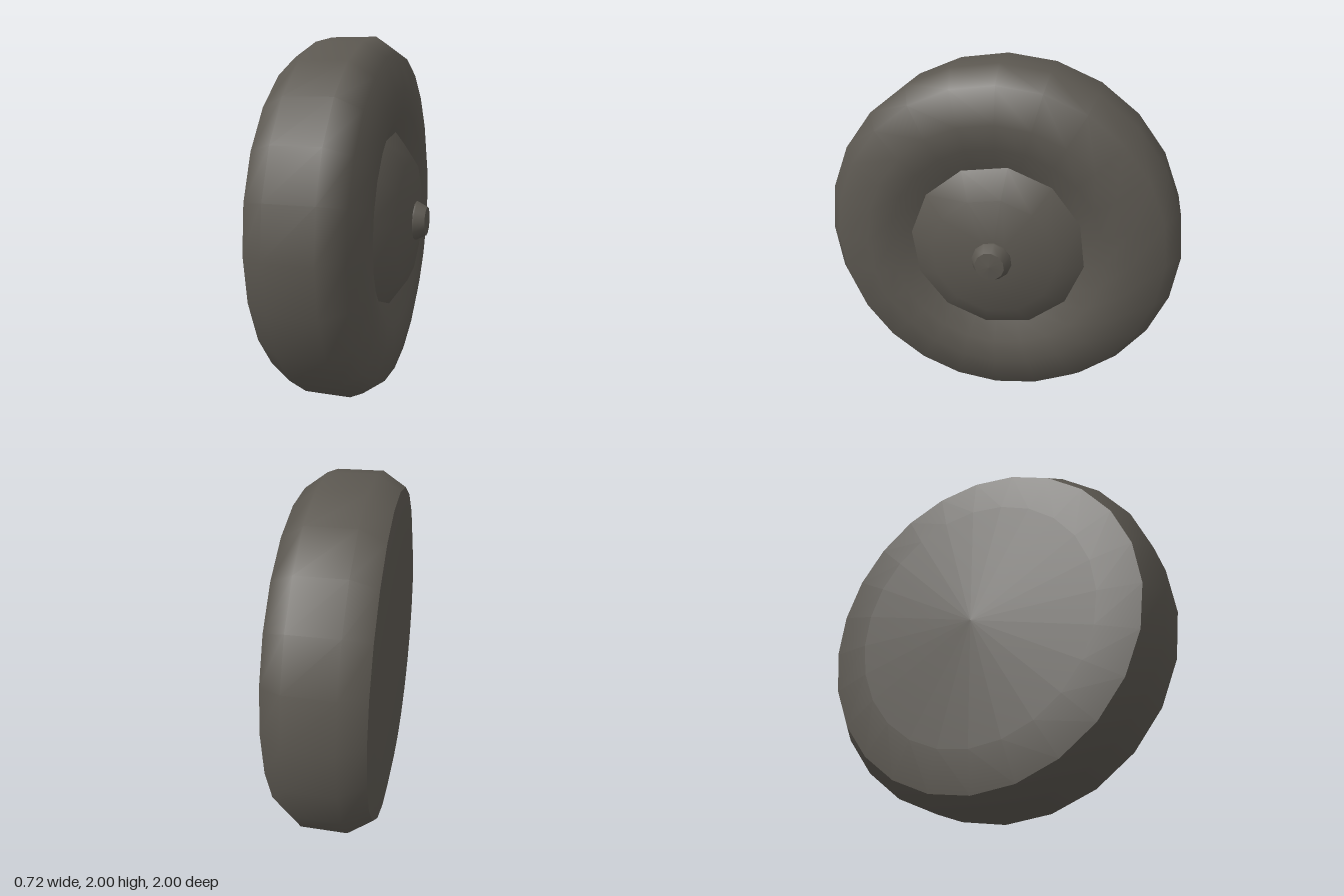
import * as THREE from 'three';

export function createModel() {
  const wheel = new THREE.Group();
  wheel.name = 'wheel';
  const rubber = new THREE.MeshStandardMaterial({ color: 0x5b5750 });
  rubber.name = 'dark grey';

  // Revolves [radius, x] points, listed from back to front, around the axle
  function turned(name, profile, sides, start = 0) {
    const points = profile.map(([r, x]) => new THREE.Vector2(r, x));
    const geometry = new THREE.LatheGeometry(points, sides, start);
    geometry.rotateZ(-Math.PI / 2);
    geometry.translate(0, 1, 0);
    const mesh = new THREE.Mesh(geometry, rubber);
    mesh.name = name;
    wheel.add(mesh);
  }

  // Slightly domed back, kept separate for a sharp edge against the tread
  turned('backPlate', [[0, -0.36], [0.7, -0.355], [0.92, -0.325]], 24);

  // Rounded tyre that dips inwards towards the hub
  turned('tyre', [
    [0.92, -0.325], [1, -0.2], [1, 0.05], [0.915, 0.17],
    [0.73, 0.21], [0.6, 0.2], [0.48, 0.14], [0.35, 0.1],
  ], 24);

  // Twelve-sided hub cap, turned a little
  turned('hubCap', [[0.49, 0.148], [0.345, 0.25], [0.11, 0.285], [0, 0.288]], 12, -0.125);

  // Tapered axle nut and its flat end
  turned('axleNut', [[0.11, 0.28], [0.108, 0.295], [0.08, 0.348]], 12, -0.125);
  turned('axleNutEnd', [[0.08, 0.348], [0, 0.356]], 12, -0.125);

  return wheel;
}
